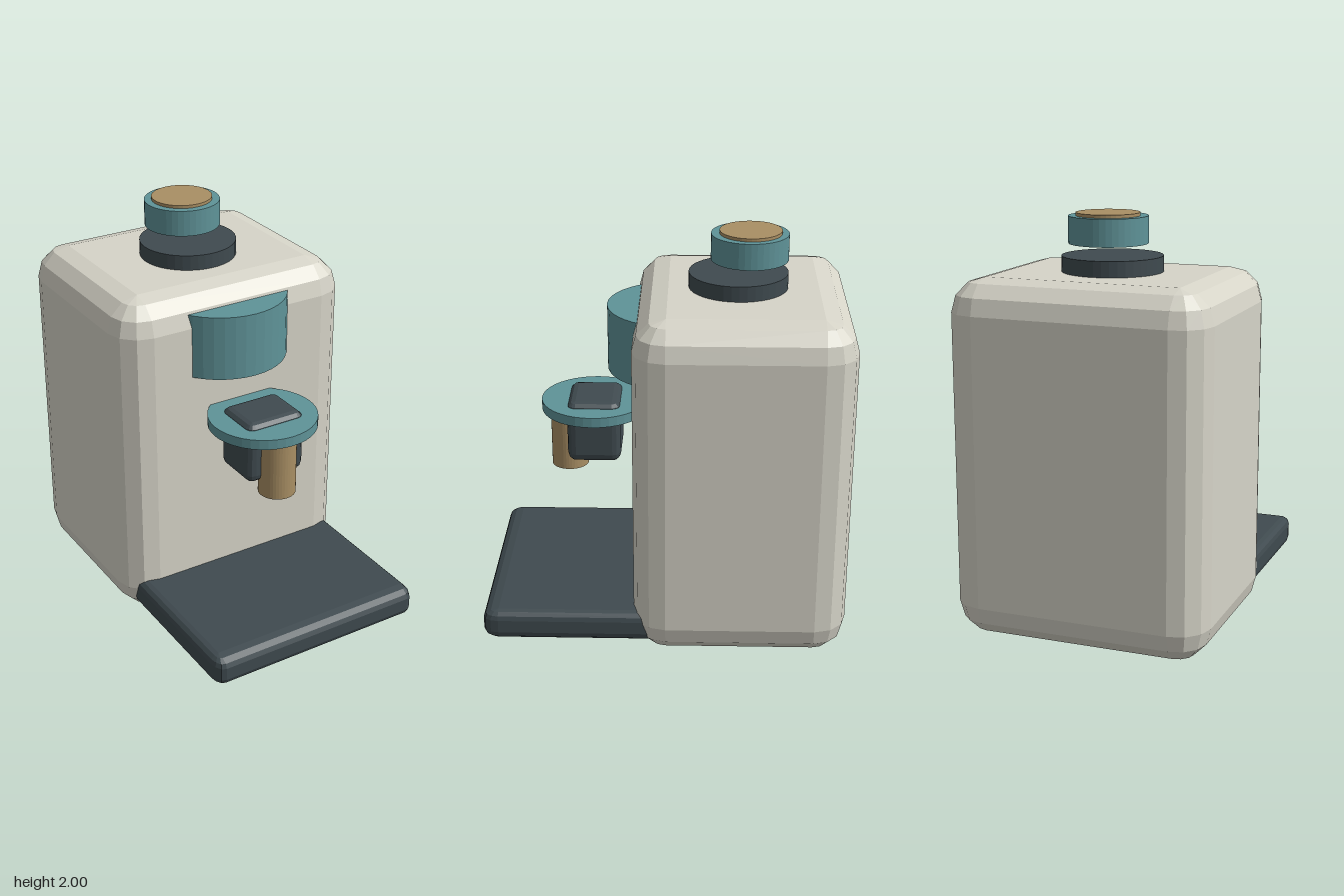
import * as THREE from 'three';
import { ConvexGeometry } from 'three/addons/geometries/ConvexGeometry.js';

const material = (color) => new THREE.MeshStandardMaterial({ color, flatShading: true });
const cream = material(0xd6d4c8);
const dark = material(0x3f4a4f);
const teal = material(0x5f9398);
const tan = material(0xa98f64);

// Box with three-step bevelled edges; min/max corners and a bevel size per axis
function bevelBox(name, mat, min, max, bevel) {
  const points = [];
  const size = max.map((v, i) => (v - min[i]) / 2);
  for (const sx of [-1, 1]) for (const sy of [-1, 1]) for (const sz of [-1, 1]) {
    for (let i = 0; i <= 3; i++) {
      const a = i * Math.PI / 6;
      for (let j = 0; j <= (i ? 3 : 0); j++) {
        const b = j * Math.PI / 6;
        points.push(new THREE.Vector3(
          sx * (size[0] - bevel[0] + bevel[0] * Math.sin(a) * Math.cos(b)),
          sy * (size[1] - bevel[1] + bevel[1] * Math.cos(a)),
          sz * (size[2] - bevel[2] + bevel[2] * Math.sin(a) * Math.sin(b))));
      }
    }
  }
  const mesh = new THREE.Mesh(new ConvexGeometry(points), mat);
  mesh.name = name;
  mesh.position.set(...min.map((v, i) => (v + max[i]) / 2));
  return mesh;
}

// Upright cylinder on the centre line
function drum(name, mat, radius, bottom, top, z) {
  const mesh = new THREE.Mesh(new THREE.CylinderGeometry(radius, radius, top - bottom, 40), mat);
  mesh.name = name;
  mesh.position.set(0, (bottom + top) / 2, z);
  return mesh;
}

export function createModel() {
  const model = new THREE.Group();
  model.name = 'coffeeMachine';
  model.add(
    // Housing and drip tray
    bevelBox('body', cream, [-0.63, 0.005, -0.893], [0.63, 1.72, 0.152], [0.16, 0.16, 0.16]),
    bevelBox('dripTray', dark, [-0.575, 0.06, -0.1], [0.575, 0.215, 0.893], [0.045, 0.045, 0.075]),
    // Brewing parts on the front
    drum('brewHead', teal, 0.33, 1.305, 1.627, -0.04),
    drum('filterDisc', teal, 0.267, 1.08, 1.13, 0.357),
    bevelBox('filterBlock', dark, [-0.16, 0.84, 0.225], [0.16, 1.155, 0.49], [0.042, 0.042, 0.042]),
    drum('spout', tan, 0.092, 0.77, 1.065, 0.49),
    // Lid and knob on the top
    drum('lidBase', dark, 0.24, 1.68, 1.795, -0.345),
    drum('lidKnob', teal, 0.187, 1.857, 1.985, -0.397),
    drum('knobCap', tan, 0.15, 1.9, 2.0, -0.4)
  );
  return model;
}
